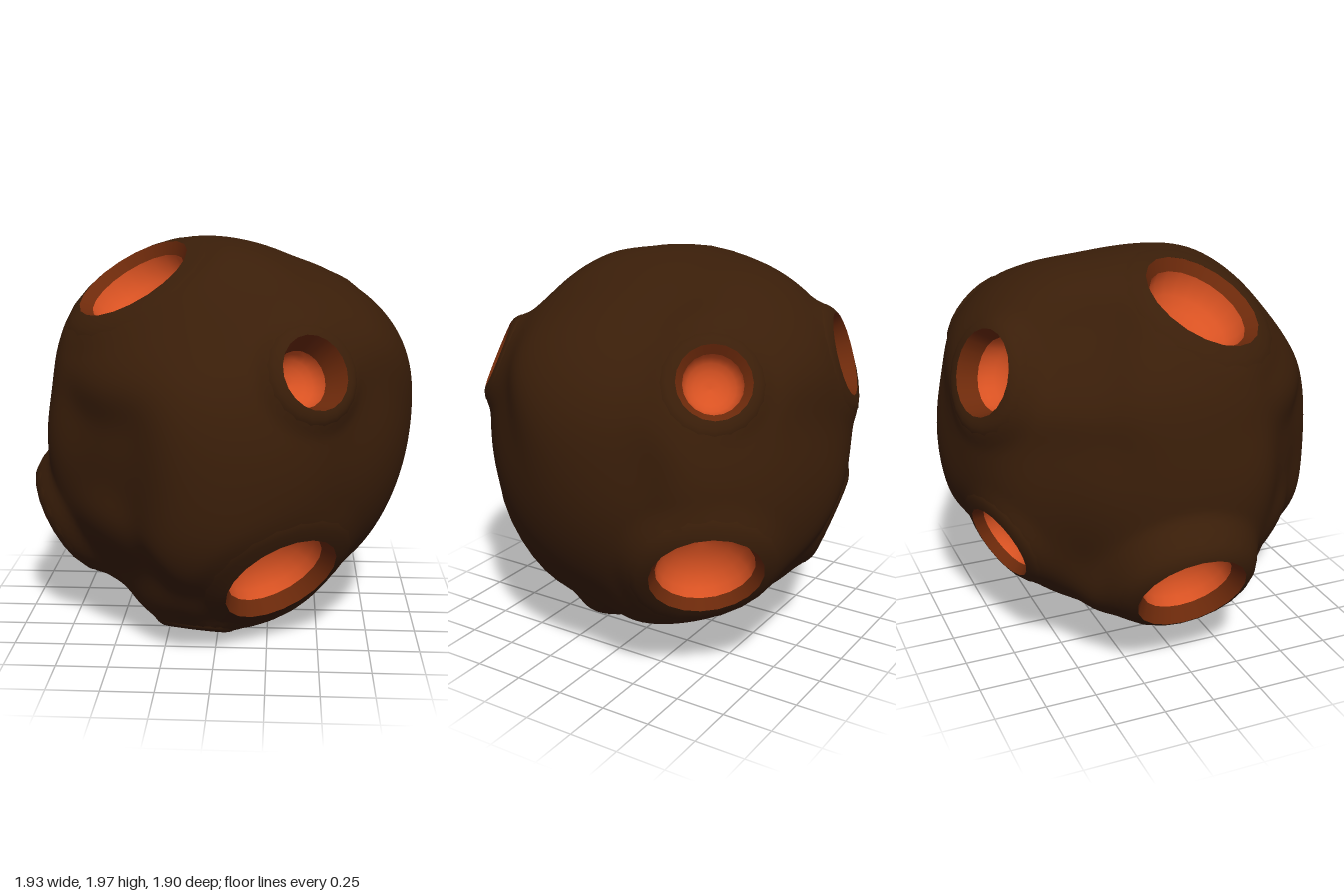
import * as THREE from 'three';
import { mergeVertices } from 'three/addons/utils/BufferGeometryUtils.js';

// Craters: rim centre relative to the rock's middle, facing direction,
// rim radius, inner ratio and wall depth
const craters = [
  [[-0.42, 0.79, 0.18], [-0.45, 0.84, 0.31], 0.3, 0.85, 0.05],
  [[0.46, 0.44, 0.74], [0.54, 0.41, 0.73], 0.175, 0.77, 0.12],
  [[0.32, -0.58, 0.63], [0.44, -0.56, 0.7], 0.29, 0.85, 0.07],
  [[-0.11, -0.93, 0.42], [-0.1, -0.92, 0.38], 0.14, 0.8, 0.1],
  [[0.66, 0.56, -0.63], [0.68, 0.5, -0.54], 0.17, 0.8, 0.04],
  [[0.71, -0.34, -0.63], [0.7, -0.46, -0.55], 0.265, 0.87, 0.05],
  [[-0.23, 0.51, -0.84], [-0.28, 0.3, -0.91], 0.205, 0.85, 0.1],
  [[-0.24, -0.36, -0.8], [-0.28, -0.36, -0.89], 0.2, 0.87, 0.05],
  [[-0.83, -0.5, -0.04], [-0.86, -0.5, -0.03], 0.27, 0.82, 0.07],
].map(([centre, axis, radius, inner, depth]) => ({
  centre: new THREE.Vector3(...centre), axis: new THREE.Vector3(...axis).normalize(),
  radius, inner, depth,
}));

// Outline points on the three main planes, and a few between them, that give the lump its uneven shape
const frontOutline = [[-0.18, 1], [0.05, 0.92], [0.28, 0.89], [0.52, 0.8], [0.75, 0.67], [0.91, 0.5],
  [0.97, 0.3], [0.96, 0.08], [0.91, -0.15], [-0.86, 0], [-0.84, 0.2], [-0.8, 0.45], [-0.76, 0.65],
  [-0.66, -0.73], [-0.35, -0.8]];
const sideOutline = [[0.27, -1], [-0.05, -0.9], [-0.25, -0.86], [-0.45, -0.76], [-0.68, -0.62],
  [-0.91, 0.2], [-0.9, 0.6], [-0.72, 0.8], [-0.47, 0.9], [-0.1, 0.98], [0.2, 0.99], [0.38, 0.92],
  [0.52, 0.81], [0.62, 0.65], [0.91, 0.25], [0.93, 0], [0.96, -0.3]];
const topOutline = [[0.24, -0.94], [0.5, -0.88], [0.68, -0.84], [0.96, -0.15], [0.88, 0.3], [0.8, 0.45],
  [0.65, 0.62], [0.35, 0.87], [0.2, 0.92], [-0.08, 0.95], [-0.34, 0.73], [-0.59, 0.53], [-0.85, 0.3],
  [-0.72, -0.45], [-0.56, -0.6], [-0.4, -0.82]];
const between = [[-0.53, 0.5, 0.53], [-0.53, -0.45, 0.53], [-0.5, 0.55, -0.5], [-0.3, 0.55, 0.67]];
const controls = [
  ...frontOutline.map(([x, y]) => new THREE.Vector3(x, y, 0)),
  ...sideOutline.map(([z, y]) => new THREE.Vector3(0, y, z)),
  ...topOutline.map(([x, z]) => new THREE.Vector3(x, 0, z)),
  ...between.map((p) => new THREE.Vector3(...p)),
  ...craters.map((c) => c.centre),
].map((p) => ({ dir: p.clone().normalize(), r: p.length() }));

// Where a direction meets a crater's rim plane: t is 1 on the rim, less inside;
// rim is the distance from the middle to the nearest rim point
function rimHit(dir, c) {
  const along = dir.dot(c.axis);
  if (along <= 0.1) return { t: 99, rim: 1 };
  const offset = dir.clone().multiplyScalar(c.centre.dot(c.axis) / along).sub(c.centre);
  const t = Math.max(offset.length() / c.radius, 1e-6);
  return { t, rim: offset.divideScalar(t).add(c.centre).length() };
}

// Distance from the middle to the surface in a direction
function surfaceRadius(dir) {
  let sum = 0, total = 0;
  for (const { dir: d, r } of controls) {
    const w = Math.exp(28 * (dir.dot(d) - 1));
    sum += w * r;
    total += w;
  }
  let radius = sum / total;
  for (const c of craters) {
    const { t, rim } = rimHit(dir, c);
    radius = THREE.MathUtils.lerp(rim, radius, THREE.MathUtils.smoothstep(t, 0.95, 1.8));
    if (t <= 1) radius = rim;
  }
  return radius;
}

// Pushes every vertex onto the rock surface, with an optional lift
function drape(geometry, lift = () => 0) {
  geometry.deleteAttribute('uv');
  geometry.deleteAttribute('normal');
  const merged = mergeVertices(geometry, 1e-4);
  const pos = merged.attributes.position;
  const v = new THREE.Vector3();
  for (let i = 0; i < pos.count; i++) {
    v.fromBufferAttribute(pos, i).normalize();
    v.multiplyScalar(surfaceRadius(v) + lift(v));
    pos.setXYZ(i, v.x, v.y, v.z);
  }
  merged.computeVertexNormals();
  return merged;
}

// Rock skin with openings left for the craters
function rockGeometry() {
  const geometry = drape(new THREE.IcosahedronGeometry(1, 32));
  const pos = geometry.attributes.position;
  const v = new THREE.Vector3();
  const open = [];
  for (let i = 0; i < pos.count; i++) {
    v.fromBufferAttribute(pos, i).normalize();
    open.push(craters.some((c) => rimHit(v, c).t < 1));
  }
  const kept = [];
  const index = geometry.index.array;
  for (let i = 0; i < index.length; i += 3) {
    const face = [index[i], index[i + 1], index[i + 2]];
    if (!face.some((k) => open[k])) kept.push(...face);
  }
  geometry.setIndex(kept);
  return geometry;
}

export function createModel() {
  const material = (name, color) => {
    const m = new THREE.MeshStandardMaterial({ color, side: THREE.DoubleSide });
    m.name = name;
    return m;
  };
  const rock = material('dark brown rock', 0x3a1e09);
  const wall = material('rust brown wall', 0x6e2a0b);
  const glow = material('orange bowl', 0xd85222);

  const model = new THREE.Group();
  model.name = 'crateredRock';
  const add = (parent, name, geometry, mat) => {
    const mesh = new THREE.Mesh(geometry, mat);
    mesh.name = name;
    parent.add(mesh);
  };
  add(model, 'rockSkin', rockGeometry(), rock);

  const up = new THREE.Vector3(0, 1, 0);
  const sides = 20;
  for (const c of craters) {
    const crater = new THREE.Group();
    crater.name = 'crater';
    const turn = new THREE.Quaternion().setFromUnitVectors(up, c.axis);
    const lathe = (points) => new THREE.LatheGeometry(
      points.map(([x, y]) => new THREE.Vector2(x, y)), sides)
      .applyQuaternion(turn).translate(...c.centre);
    const R = c.radius, innerR = R * c.inner;

    // Raised lip that closes the gap between skin and rim
    const lip = lathe([1.45, 1.35, 1.24, 1.12, 1].map((t) => [t * R, 0]));
    add(crater, 'craterLip', drape(lip, (d) => {
      const { t } = rimHit(d, c);
      return t > 1.4 ? -0.004 : t < 1.02 ? 0 : 0.003;
    }), rock);

    // Sloping wall and rounded bowl
    add(crater, 'craterWall', lathe([[R, 0], [innerR, -c.depth]]), wall);
    const bowl = [0, 1, 2, 3, 4, 5].map((i) => {
      const a = (i / 5) * Math.PI / 2;
      return [innerR * Math.cos(a), -c.depth - 0.6 * R * Math.sin(a)];
    });
    add(crater, 'craterBowl', lathe(bowl), glow);
    model.add(crater);
  }
  // Stand the rock on the ground
  for (const part of model.children) part.position.y = 1;
  return model;
}
